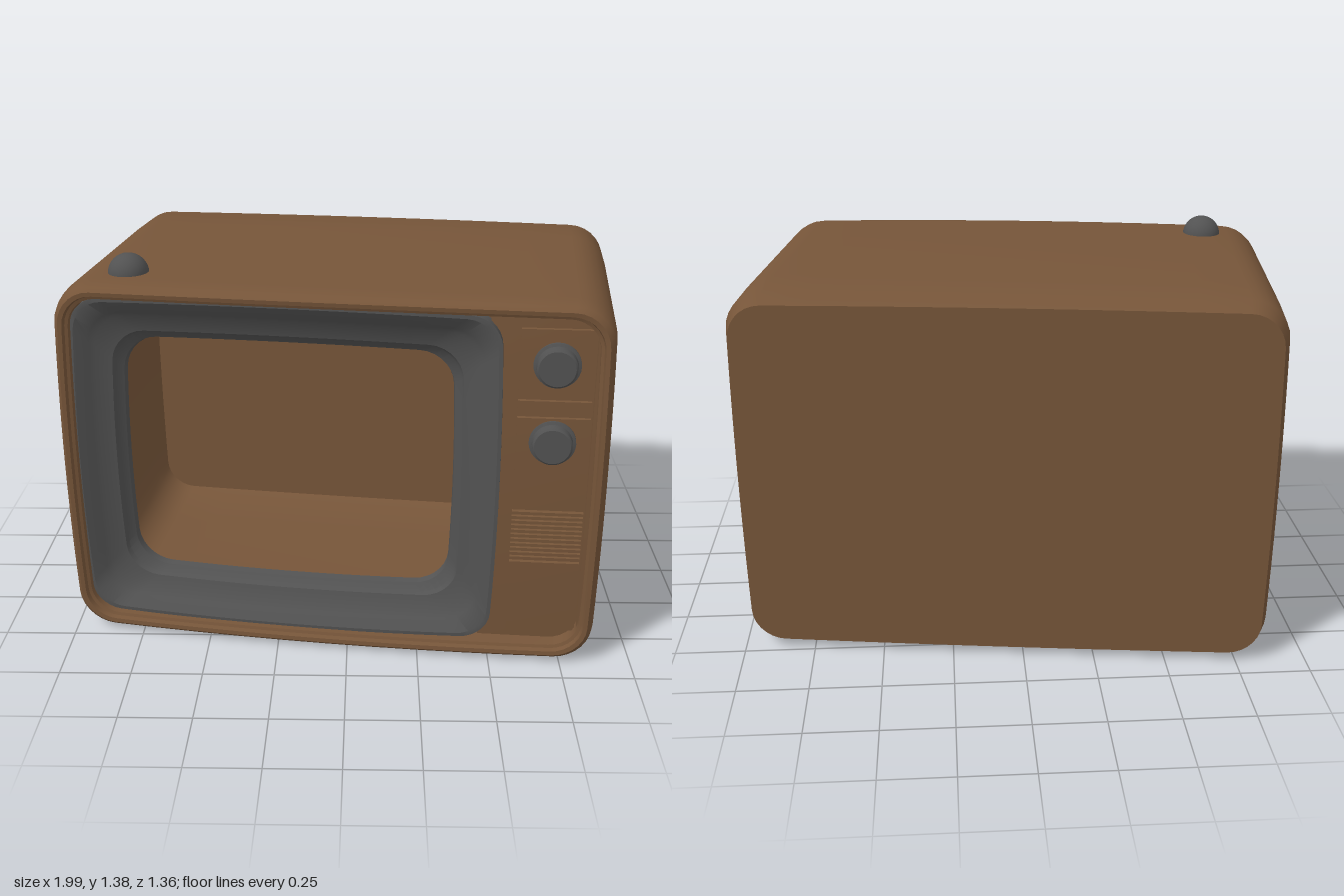
import * as THREE from 'three';
import { toCreasedNormals } from 'three/addons/utils/BufferGeometryUtils.js';

const MID = 0.6625;

// Gently domed front surface that all front parts follow
const front = (x, y) => 0.605 - 0.03 * (x / 0.94) ** 2 - 0.02 * ((y - MID) / 0.66) ** 2;

// Rounded rectangle outline with slightly bowed sides, counter-clockwise
function outline(cx, cy, hw, hh, r, bow) {
  const pts = [];
  const corners = [[1, 1], [-1, 1], [-1, -1], [1, -1]];
  const arc = 7, edge = 10;
  corners.forEach(([sx, sy], q) => {
    for (let i = 0; i <= arc; i++) {
      const a = (q + i / arc) * Math.PI / 2;
      pts.push([sx * (hw - r) + r * Math.cos(a), sy * (hh - r) + r * Math.sin(a)]);
    }
    const [nx, ny] = corners[(q + 1) % 4];
    const a = (q + 1) * Math.PI / 2;
    const from = pts[pts.length - 1];
    const to = [nx * (hw - r) + r * Math.cos(a), ny * (hh - r) + r * Math.sin(a)];
    for (let i = 1; i < edge; i++) {
      const t = i / edge;
      pts.push([from[0] + (to[0] - from[0]) * t, from[1] + (to[1] - from[1]) * t]);
    }
  });
  return pts.map(([x, y]) => [
    cx + x * (1 + bow * (1 - (y / hh) ** 2)),
    cy + y * (1 + bow * (1 - (x / hw) ** 2)),
  ]);
}

// Skin a row of equal-length loops; optionally close the last one
function skin(loops, closeEnd, crease) {
  const n = loops[0].length, pos = loops.flat(2), idx = [];
  for (let k = 0; k < loops.length - 1; k++) {
    for (let i = 0; i < n; i++) {
      const a = k * n + i, b = k * n + (i + 1) % n;
      idx.push(a, a + n, b, b, a + n, b + n);
    }
  }
  if (closeEnd) {
    const last = loops[loops.length - 1], base = (loops.length - 1) * n, c = pos.length / 3;
    pos.push(0, MID, last[0][2]);
    for (let i = 0; i < n; i++) idx.push(c, base + (i + 1) % n, base + i);
  }
  const g = new THREE.BufferGeometry();
  g.setAttribute('position', new THREE.Float32BufferAttribute(pos, 3));
  g.setIndex(idx);
  return toCreasedNormals(g, crease);
}

// Box placed at a depth behind the domed front and bent to follow it
function bentBox(x0, x1, y0, y1, depth, thick) {
  const g = new THREE.BoxGeometry(x1 - x0, y1 - y0, thick, 4, 12, 1);
  g.translate((x0 + x1) / 2, (y0 + y1) / 2, -depth - thick / 2);
  const p = g.attributes.position;
  for (let i = 0; i < p.count; i++) p.setZ(i, p.getZ(i) + front(p.getX(i), p.getY(i)));
  g.computeVertexNormals();
  return g;
}

export function createModel() {
  const brown = new THREE.MeshStandardMaterial({ color: 0x765539, side: THREE.DoubleSide });
  brown.name = 'brown casing';
  const grey = new THREE.MeshStandardMaterial({ color: 0x525252, side: THREE.DoubleSide });
  grey.name = 'dark grey trim';

  const model = new THREE.Group();
  model.name = 'television';
  const set = new THREE.Group();
  set.name = 'cabinetGroup';
  set.rotation.y = -0.12;
  model.add(set);
  const add = (name, geometry, material, parent = set) => {
    const m = new THREE.Mesh(geometry, material);
    m.name = name;
    parent.add(m);
    return m;
  };

  // Hollow cabinet: inner rim wall, rounded rim, sides, bevelled back
  const caseLoop = (inset, z) =>
    outline(0, MID, 0.933 - inset, 0.655 - inset, 0.13 - inset * 0.6, 0.01)
      .map(([x, y]) => [x, y, z(x, y)]);
  const behind = (d) => (x, y) => front(x, y) - d;
  const at = (z) => () => z;
  add('cabinet', skin([
    caseLoop(0.055, behind(0.1)),
    caseLoop(0.052, behind(0.025)),
    caseLoop(0.042, behind(0.02)),
    caseLoop(0.038, behind(0.003)),
    caseLoop(0.024, behind(0)),
    caseLoop(0.01, behind(0.015)),
    caseLoop(0.003, behind(0.05)),
    caseLoop(0, behind(0.09)),
    caseLoop(0, at(-0.3)),
    caseLoop(0.004, at(-0.5)),
    caseLoop(0.028, at(-0.577)),
  ], true, 0.6), brown);

  // Funnel-shaped screen surround, open in the middle
  const bezelLoop = (inset, depth) =>
    outline(-0.157, MID, 0.725 - inset, 0.597 - inset, 0.1 + inset * 0.1, 0.022)
      .map(([x, y]) => [x, y, front(x, y) - depth]);
  add('screenSurround', skin([
    bezelLoop(0.16, 0.17),
    bezelLoop(0.156, 0.145),
    bezelLoop(0.132, 0.125),
    bezelLoop(0.125, 0.11),
    bezelLoop(0.07, 0.09),
    bezelLoop(0.055, 0.075),
    bezelLoop(0.012, 0.045),
    bezelLoop(0, 0.045),
    bezelLoop(0, 0.1),
  ], false, 0.5), grey);

  // Control panel with raised plates
  const panel = new THREE.Group();
  panel.name = 'controlPanel';
  set.add(panel);
  add('panelBacking', bentBox(0.53, 0.895, 0.06, 1.265, 0.075, 0.02), brown, panel);
  const plates = [[0.1, 0.375], [0.72, 0.915], [0.925, 0.975], [0.985, 1.22]];
  plates.forEach(([y0, y1]) =>
    add('panelPlate', bentBox(0.63, 0.87, y0, y1, 0.06, 0.02), brown, panel));
  add('panelEdge', bentBox(0.876, 0.892, 0.1, 1.22, 0.045, 0.035), brown, panel);

  // Speaker grille ribs
  for (let i = 0; i < 11; i++) {
    const y = 0.385 + i * 0.0175;
    add('grilleRib', bentBox(0.63, 0.87, y, y + 0.011, 0.058, 0.02), brown, panel);
  }

  // Two stepped dials
  const dialProfile = [[0.078, 0], [0.078, 0.012], [0.068, 0.016], [0.066, 0.042], [0.06, 0.047], [0, 0.047]]
    .map(([r, h]) => new THREE.Vector2(r, h));
  const dial = toCreasedNormals(new THREE.LatheGeometry(dialProfile, 32).rotateX(Math.PI / 2), 0.6);
  for (const y of [1.1, 0.83]) {
    add('dial', dial, grey, panel).position.set(0.75, y, front(0.75, y) - 0.068);
  }

  // Domed aerial base on top
  add('aerialBase', new THREE.SphereGeometry(0.07, 32, 20), grey).position.set(-0.709, 1.315, 0.388);

  return model;
}
